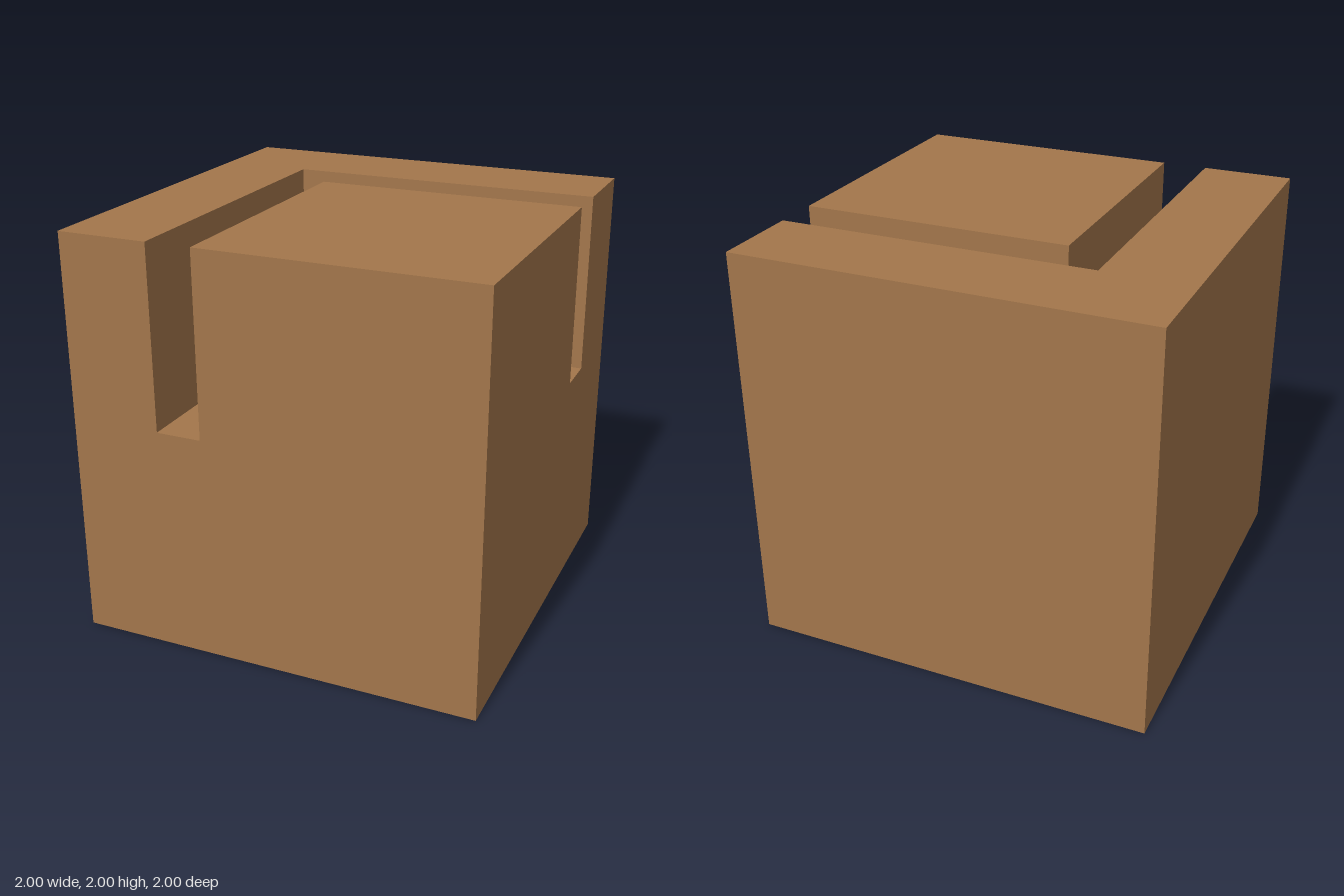
import * as THREE from 'three';
import { mergeGeometries } from 'three/addons/utils/BufferGeometryUtils.js';

const OUTER = 5 / 9;   // groove's outer wall, distance from centre
const INNER = 3 / 9;   // groove's inner wall
const FLOOR = 10 / 9;  // groove floor height
const TOP = 2;

// Flat polygon in XY, facing +z, pushed out along its normal
function panel(points, offset) {
  const shape = new THREE.Shape(points.map(([x, y]) => new THREE.Vector2(x, y)));
  return new THREE.ShapeGeometry(shape).translate(0, 0, offset);
}

const rect = (x0, x1, y0, y1) => [[x0, y0], [x1, y0], [x1, y1], [x0, y1]];

// Upright panel turned about y
const wall = (points, offset, quarterTurns = 0) =>
  panel(points, offset).rotateY(quarterTurns * Math.PI / 2);

// Level panel facing up, drawn in (x, -z)
const level = (points, y) => panel(points, y).rotateX(-Math.PI / 2);

export function createModel() {
  const group = new THREE.Group();
  group.name = 'groovedBlock';
  const material = new THREE.MeshStandardMaterial({ color: 0xa3764b });

  function add(name, panels) {
    const mesh = new THREE.Mesh(mergeGeometries(panels), material);
    mesh.name = name;
    group.add(mesh);
  }

  // Front side, with the groove's open end
  const notched = [
    [-1, 0], [1, 0], [1, TOP], [-INNER, TOP], [-INNER, FLOOR],
    [-OUTER, FLOOR], [-OUTER, TOP], [-1, TOP],
  ];
  const mirrored = notched.map(([x, y]) => [-x, y]).reverse();
  const plain = rect(-1, 1, 0, TOP);

  // Outer sides and underside
  add('outerSides', [
    wall(notched, 1),
    wall(mirrored, 1, 1),
    wall(plain, 1, 2),
    wall(plain, 1, 3),
    panel(rect(-1, 1, -1, 1), 0).rotateX(Math.PI / 2),
  ]);

  // L-shaped rim along the back and right
  add('rimTop', [level([
    [-1, -1], [-OUTER, -1], [-OUTER, OUTER], [1, OUTER], [1, 1], [-1, 1],
  ], TOP)]);

  // Square top of the corner block
  add('cornerBlockTop', [level(rect(-INNER, 1, -1, INNER), TOP)]);

  // L-shaped groove: floor, outer walls, inner walls
  add('groove', [
    level([
      [-OUTER, -1], [-INNER, -1], [-INNER, INNER], [1, INNER], [1, OUTER], [-OUTER, OUTER],
    ], FLOOR),
    wall(rect(-OUTER, 1, FLOOR, TOP), -OUTER),
    wall(rect(-1, OUTER, FLOOR, TOP), -OUTER, 1),
    wall(rect(-1, INNER, FLOOR, TOP), INNER, 2),
    wall(rect(-INNER, 1, FLOOR, TOP), INNER, 3),
  ]);

  return group;
}
